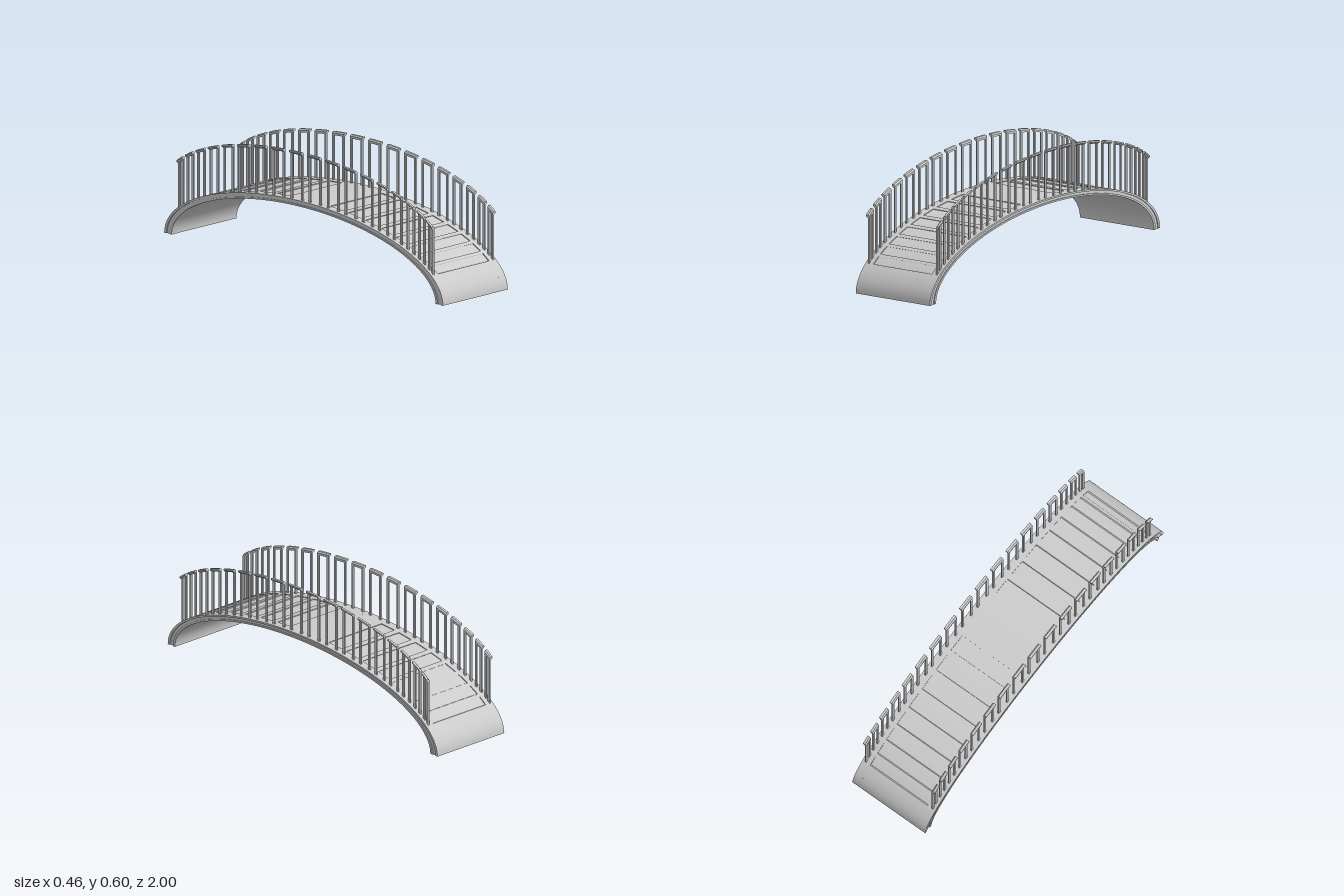
import * as THREE from 'three';
import { toCreasedNormals } from 'three/addons/utils/BufferGeometryUtils.js';

const material = new THREE.MeshStandardMaterial({ color: 0xcccccc });
const RAD = Math.PI / 180;
const HALF_WIDTH = 0.228;
const POCKET_X = 0.18;
const POCKET_DEPTH = 0.13; // fraction of the deck thickness
const PITCH = 7.5; // degrees between railing panels

// Point in the deck: s = 0 on the outer ellipse, 1 on the inner; t in degrees from the crown
const deckPoint = (x, s, t) => [
  x, (0.35 - 0.03 * s) * Math.cos(t * RAD), (1 - 0.053 * s) * Math.sin(t * RAD),
];

// Point in a handrail: h is the drop below the rail's top line
const railPoint = (x, h, t) => [
  x, 0.35 * Math.cos(t * RAD) + 0.25 - h, Math.sin(t * RAD),
];

// Sweeps a section (x, depth), counter-clockwise seen from the front, from t0 to t1
function sweep(section, place, t0, t1, steps) {
  const pos = [];
  const n = section.length;
  const at = (i, k) => {
    const [x, d] = section[i % n];
    return place(x, d, t0 + (t1 - t0) * k / steps);
  };
  const tri = (a, b, c) => pos.push(...a, ...b, ...c);
  for (let k = 0; k < steps; k++) {
    for (let i = 0; i < n; i++) {
      tri(at(i, k), at(i + 1, k), at(i + 1, k + 1));
      tri(at(i, k), at(i + 1, k + 1), at(i, k + 1));
    }
  }
  const outline = section.map(([x, d]) => new THREE.Vector2(x, -d));
  for (const [a, b, c] of THREE.ShapeUtils.triangulateShape(outline, [])) {
    tri(at(a, steps), at(b, steps), at(c, steps));
    tri(at(c, 0), at(b, 0), at(a, 0));
  }
  const geometry = new THREE.BufferGeometry();
  geometry.setAttribute('position', new THREE.Float32BufferAttribute(pos, 3));
  return toCreasedNormals(geometry, 25 * RAD);
}

function add(parent, name, geometry) {
  const mesh = new THREE.Mesh(geometry, material);
  mesh.name = name;
  parent.add(mesh);
  return mesh;
}

const mirrored = (points) => points.map(([x, d]) => [-x, d]).reverse();

function createDeck() {
  const deck = new THREE.Group();
  deck.name = 'deck';

  // Arched slab with grooved edges and a shallow channel along the top
  const w = HALF_WIDTH, g = w - 0.005;
  const half = [
    [w, 1], [w, 0.72], [g, 0.72], [g, 0.3], [w, 0.3], [w, 0],
    [POCKET_X, 0], [POCKET_X, POCKET_DEPTH],
  ];
  add(deck, 'archSlab', sweep([...half, ...mirrored(half)], deckPoint, -90, 90, 96));

  // Bands filling the channel between the recessed steps
  const fill = [
    [-POCKET_X, POCKET_DEPTH], [POCKET_X, POCKET_DEPTH], [POCKET_X, 0], [-POCKET_X, 0],
  ];
  const band = (t0, t1) => add(deck, 'stepBand',
    sweep(fill, deckPoint, t0, t1, Math.max(2, Math.ceil((t1 - t0) / 1.875))));
  const pockets = [];
  for (let i = 1; i <= 8; i++) {
    const low = 6.25 + PITCH * i;
    pockets.push([low - 5.5, low], [-low, 5.5 - low]);
  }
  pockets.sort((a, b) => a[0] - b[0]);
  let start = -90;
  for (const [from, to] of pockets) {
    band(start, from);
    start = to;
  }
  band(start, 90);
  return deck;
}

function createRailing(side) {
  const railing = new THREE.Group();
  railing.name = side > 0 ? 'leftRailing' : 'rightRailing';

  // Handrail overhangs outwards with a chamfered underside
  const profile = [[0.205, 0.018], [0.212, 0.018], [0.225, 0.008], [0.225, 0], [0.212, 0], [0.205, 0.007]];
  const section = side > 0 ? profile : mirrored(profile);
  const postWidth = 0.013;

  for (let i = 0; i < 18; i++) {
    const centre = (i - 8.5) * PITCH;
    const panel = new THREE.Group();
    panel.name = 'railingPanel';
    add(panel, 'handrail', sweep(section, railPoint, centre - 2.5, centre + 2.5, 2));

    // Two upright posts at the ends of the panel
    for (const end of [-1, 1]) {
      const z = Math.sin((centre + end * 2.5) * RAD) - end * postWidth / 2;
      const surface = 0.35 * Math.sqrt(1 - z * z);
      const bottom = surface - 0.008, top = surface + 0.238;
      const post = add(panel, 'post', new THREE.BoxGeometry(0.008, top - bottom, postWidth));
      post.position.set(side * 0.209, (top + bottom) / 2, z);
    }
    railing.add(panel);
  }
  return railing;
}

export function createModel() {
  const bridge = new THREE.Group();
  bridge.name = 'archedFootbridge';
  bridge.add(createDeck(), createRailing(1), createRailing(-1));
  return bridge;
}
